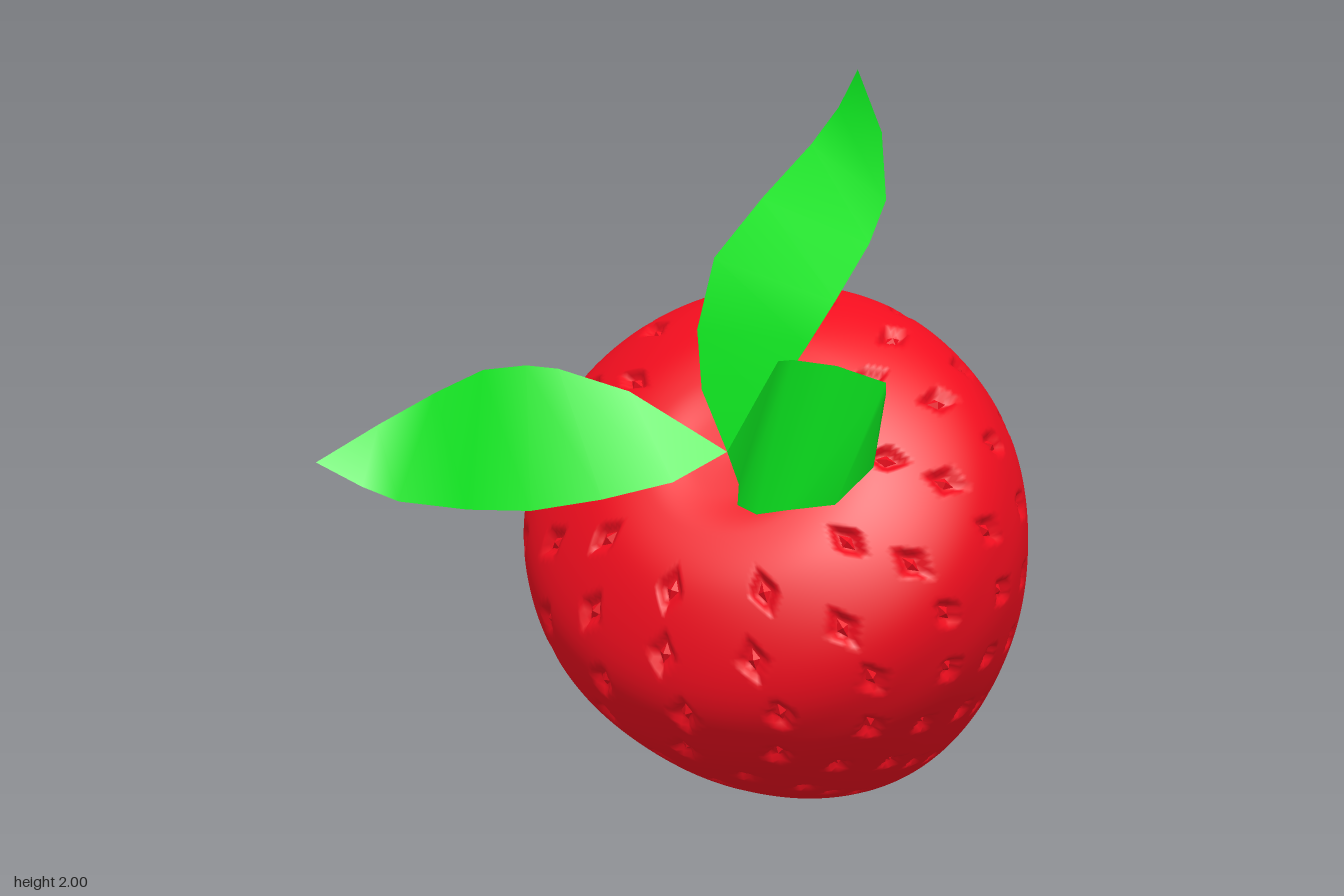
import * as THREE from 'three';
import { mergeVertices } from 'three/addons/utils/BufferGeometryUtils.js';

const V2 = (x, y) => new THREE.Vector2(x, y);

// Radius and distance along the berry's axis, from the dimpled crown to the tip
const profile = new THREE.SplineCurve([
  V2(0, 0.075), V2(0.11, 0.07), V2(0.22, 0.06), V2(0.35, 0.08), V2(0.48, 0.145),
  V2(0.576, 0.23), V2(0.622, 0.335), V2(0.64, 0.49), V2(0.607, 0.75), V2(0.548, 0.975),
  V2(0.484, 1.16), V2(0.424, 1.3), V2(0.34, 1.45), V2(0.235, 1.56), V2(0.13, 1.622),
  V2(0, 1.645),
]);

// Staggered rings of seeds: position, outward normal, tangent down the berry, tangent around it
function seedFrames() {
  const frames = [];
  const rings = 13;
  for (let i = 0; i < rings; i++) {
    const t = 0.16 + 0.79 * i / (rings - 1);
    const p = profile.getPointAt(t), d = profile.getTangentAt(t);
    const count = Math.max(4, Math.round(2 * Math.PI * p.x / 0.23));
    for (let k = 0; k < count; k++) {
      const a = (k + (i % 2) / 2) / count * 2 * Math.PI;
      const s = Math.sin(a), c = Math.cos(a);
      frames.push({
        pos: new THREE.Vector3(p.x * s, p.y, p.x * c),
        normal: new THREE.Vector3(d.y * s, -d.x, d.y * c).normalize(),
        down: new THREE.Vector3(d.x * s, d.y, d.x * c).normalize(),
        around: new THREE.Vector3(c, 0, -s),
      });
    }
  }
  return frames;
}

// Turned skin with a shallow diamond pit pressed in at every seed
function fruitGeometry(seeds) {
  const lathe = new THREE.LatheGeometry(profile.getSpacedPoints(190), 280);
  lathe.deleteAttribute('uv');
  lathe.deleteAttribute('normal');
  const geo = mergeVertices(lathe, 1e-4);
  const pos = geo.attributes.position;
  const v = new THREE.Vector3(), d = new THREE.Vector3();
  for (let i = 0; i < pos.count; i++) {
    v.fromBufferAttribute(pos, i);
    for (const s of seeds) {
      d.subVectors(v, s.pos);
      if (d.lengthSq() > 0.01) continue;
      const fall = 1 - Math.abs(d.dot(s.down)) / 0.055 - Math.abs(d.dot(s.around)) / 0.036;
      if (fall > 0) {
        v.addScaledVector(s.normal, -0.02 * Math.min(1, fall * 3));
        break;
      }
    }
    pos.setXYZ(i, v.x, v.y, v.z);
  }
  geo.computeVertexNormals();
  return geo;
}

// Ribbon between two edges, pointed at both ends
function leafGeometry(base, rows, tip) {
  const points = [base, ...rows.flat(), tip];
  const last = points.length - 1;
  const index = [0, 1, 2];
  for (let i = 1; i + 3 < last; i += 2) index.push(i, i + 2, i + 1, i + 1, i + 2, i + 3);
  index.push(last - 2, last, last - 1);
  const geo = new THREE.BufferGeometry();
  geo.setAttribute('position', new THREE.Float32BufferAttribute(points.flat(), 3));
  geo.setIndex(index);
  geo.computeVertexNormals();
  return geo;
}

export function createModel() {
  const model = new THREE.Group();
  const red = new THREE.MeshStandardMaterial({ color: 0xf00d1e });
  const green = new THREE.MeshStandardMaterial({ color: 0x0be61f, side: THREE.DoubleSide });

  // Berry, leaning so that its tip points to its left, down and back
  const berry = new THREE.Group();
  berry.name = 'berry';
  berry.position.set(-0.215, 1.135, 0.075);
  berry.quaternion.setFromUnitVectors(
    new THREE.Vector3(0, 1, 0), new THREE.Vector3(0.63, -0.592, -0.502).normalize());
  const seeds = seedFrames();
  const skin = new THREE.Mesh(fruitGeometry(seeds), red);
  skin.name = 'fruitSkin';
  berry.add(skin);

  // Small diamond seeds sitting in the pits
  const seedGeo = new THREE.OctahedronGeometry(1);
  const basis = new THREE.Matrix4();
  for (const s of seeds) {
    const seed = new THREE.Mesh(seedGeo, red);
    seed.name = 'seed';
    const out = new THREE.Vector3().crossVectors(s.around, s.down);
    seed.quaternion.setFromRotationMatrix(basis.makeBasis(s.around, s.down, out));
    seed.position.copy(s.pos).addScaledVector(s.normal, -0.02);
    seed.scale.set(0.015, 0.026, 0.012);
    berry.add(seed);
  }
  model.add(berry);

  // Three curled leaves from the crown: base, pairs of upper and lower edge points, tip
  const base = [-0.19, 1.1, 0.035];
  const leaves = {
    upperLeaf: [[
      [[-0.2, 1.24, -0.06], [-0.12, 1.22, 0.11]],
      [[-0.18, 1.38, -0.11], [-0.05, 1.36, 0.17]],
      [[-0.12, 1.55, -0.125], [0.01, 1.46, 0.195]],
      [[0.02, 1.69, -0.125], [0.12, 1.59, 0.18]],
      [[0.15, 1.82, -0.1], [0.2, 1.69, 0.14]],
      [[0.19, 1.91, -0.04], [0.235, 1.85, 0.075]],
    ], [0.21, 2, 0.01]],
    sideLeaf: [[
      [[-0.36, 1.24, -0.13], [-0.34, 1.04, 0.03]],
      [[-0.48, 1.29, -0.26], [-0.48, 1.0, -0.06]],
      [[-0.53, 1.295, -0.33], [-0.61, 0.97, -0.17]],
      [[-0.6, 1.28, -0.42], [-0.7, 0.96, -0.32]],
      [[-0.68, 1.22, -0.52], [-0.8, 0.965, -0.49]],
      [[-0.8, 1.14, -0.6], [-0.87, 1.0, -0.545]],
    ], [-0.96, 1.06, -0.61]],
    frontLeaf: [[
      [[-0.19, 1.25, 0.17], [-0.26, 1.05, 0.19]],
      [[-0.26, 1.35, 0.35], [-0.35, 1.03, 0.32]],
      [[-0.27, 1.36, 0.42], [-0.38, 1.03, 0.44]],
      [[-0.26, 1.36, 0.57], [-0.39, 1.06, 0.57]],
      [[-0.28, 1.345, 0.77], [-0.365, 1.09, 0.71]],
      [[-0.35, 1.335, 0.86], [-0.38, 1.19, 0.86]],
    ], [-0.42, 1.33, 0.94]],
  };
  for (const [name, [rows, tip]] of Object.entries(leaves)) {
    const leaf = new THREE.Mesh(leafGeometry(base, rows, tip), green);
    leaf.name = name;
    model.add(leaf);
  }
  return model;
}
